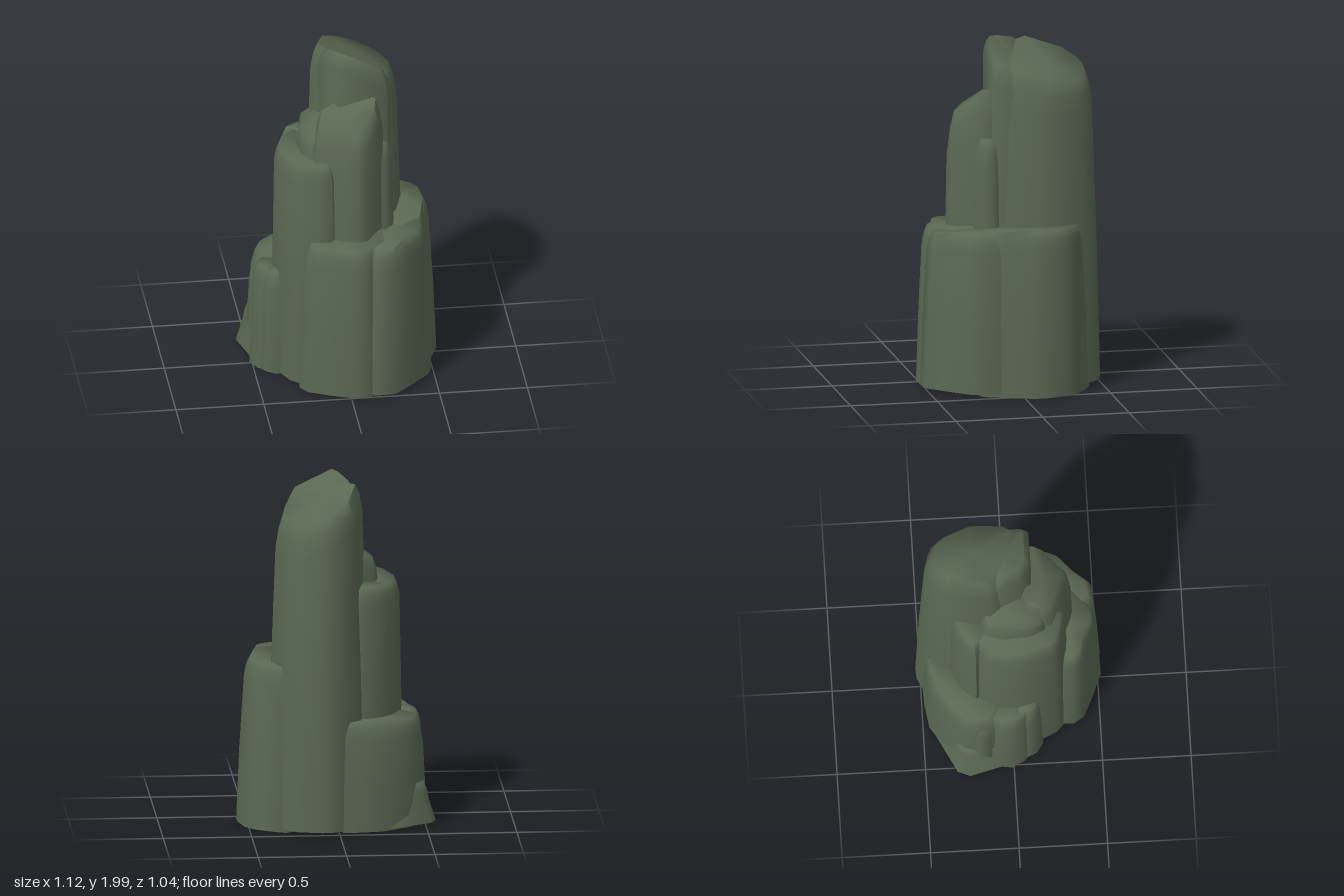
import * as THREE from 'three';
import { toCreasedNormals } from 'three/addons/utils/BufferGeometryUtils.js';

// One rock column: a tapering prism, open below, with chamfered rim and tilted top.
// pts: footprint [x, z]; top: [height, slopeX, slopeZ, refX, refZ]
function columnGeometry(pts, top, taper, bevel, rim, base) {
  const n = pts.length;
  const cx = pts.reduce((s, p) => s + p[0], 0) / n;
  const cz = pts.reduce((s, p) => s + p[1], 0) / n;
  const ordered = [...pts].sort((a, b) =>
    Math.atan2(a[1] - cz, a[0] - cx) - Math.atan2(b[1] - cz, b[0] - cx));
  const [h, sx, sz, rx, rz] = top;
  const topY = (x, z) => h + sx * (x - rx) + sz * (z - rz);

  // Cross-sections from the ground up: inset towards the centre, and height
  const rings = [
    { inset: 0, y: () => base },
    { inset: taper * 0.4, y: (t) => (t - bevel) * 0.5 },
    { inset: taper, y: (t) => t - bevel },
    { inset: taper + rim * 0.4, y: (t) => t - bevel * 0.4 },
    { inset: taper + rim, y: (t) => t },
  ];
  const pos = [];
  const index = [];
  for (const ring of rings) {
    for (const [x, z] of ordered) {
      const d = Math.hypot(x - cx, z - cz);
      const k = Math.max(0.15, 1 - ring.inset / d);
      const px = cx + (x - cx) * k;
      const pz = cz + (z - cz) * k;
      pos.push(px, ring.y(topY(px, pz)), pz);
    }
  }
  const last = (rings.length - 1) * n;
  const topCentre = rings.length * n;
  pos.push(cx, topY(cx, cz), cz);
  for (let i = 0; i < n; i++) {
    const j = (i + 1) % n;
    for (let r = 0; r < rings.length - 1; r++) {
      const a = r * n + i, b = r * n + j;
      index.push(b, a, a + n, b, a + n, b + n);
    }
    index.push(topCentre, last + j, last + i);
  }
  const geo = new THREE.BufferGeometry();
  geo.setAttribute('position', new THREE.Float32BufferAttribute(pos, 3));
  geo.setIndex(index);
  return toCreasedNormals(geo, 1.3);
}

export function createModel() {
  const group = new THREE.Group();
  group.name = 'rockPillar';
  const stone = new THREE.MeshStandardMaterial({ color: 0x5a6853, side: THREE.DoubleSide });
  stone.name = 'mossy stone';

  const add = (name, pts, top, taper, bevel, rim, base = 0.01) => {
    const mesh = new THREE.Mesh(columnGeometry(pts, top, taper, bevel, rim, base), stone);
    mesh.name = name;
    group.add(mesh);
  };

  // Tall columns forming the summit
  add('tallBackColumn',
    [[-0.14, -0.38], [-0.04, -0.48], [0.04, -0.52], [0.1, -0.525], [0.24, -0.49], [0.32, -0.41],
      [0.395, -0.2], [0.385, -0.12], [0.33, 0.05], [0.27, 0.11], [0, 0.09], [-0.13, 0], [-0.2, -0.1]],
    [1.95, -0.4, 0.2, -0.12, -0.14], 0.05, 0.17, 0.045, 0.02);
  add('summitShard',
    [[-0.13, -0.07], [-0.09, -0.16], [0.07, -0.21], [0.26, -0.13], [0.31, -0.05], [0.28, 0.09],
      [0.25, 0.13], [-0.03, 0.13], [-0.08, 0.06]],
    [2.0, -0.5, 0.5, -0.02, 0.09], 0.01, 0.12, 0.045);

  // Front column leaning against the summit
  add('frontColumn',
    [[-0.21, 0.18], [-0.18, 0.07], [-0.08, 0.03], [0.2, -0.02], [0.25, 0.12], [0.24, 0.2],
      [0.12, 0.36], [0.07, 0.375], [-0.01, 0.35], [-0.2, 0.24]],
    [1.74, 0.28, -0.6, 0.2, 0.1], 0.025, 0.22, 0.045);
  add('frontColumnSliver',
    [[0.16, 0.06], [0.26, 0.06], [0.3, 0.12], [0.29, 0.19], [0.23, 0.24], [0.16, 0.23]],
    [1.44, -0.3, 0, 0.23, 0.15], 0.02, 0.16, 0.03);

  // Left shoulder columns
  add('leftInnerColumn',
    [[-0.26, -0.05], [-0.25, 0.12], [-0.2, 0.21], [-0.05, 0.2], [-0.05, -0.2], [-0.22, -0.17]],
    [1.5, 0.5, -0.1, -0.2, 0.05], 0.015, 0.12, 0.035);
  add('leftColumn',
    [[-0.395, 0.04], [-0.38, -0.08], [-0.34, -0.17], [-0.25, -0.24], [-0.08, -0.25], [-0.05, 0.1],
      [-0.055, 0.3], [-0.08, 0.33], [-0.15, 0.325], [-0.28, 0.29], [-0.32, 0.25], [-0.37, 0.14]],
    [1.38, 0.05, 0, -0.2, 0], 0.02, 0.1, 0.035);
  add('leftRearSliver',
    [[-0.33, -0.2], [-0.27, -0.28], [-0.17, -0.34], [-0.08, -0.36], [0, -0.3], [-0.05, -0.12], [-0.25, -0.12]],
    [1.38, 0, 0.1, -0.13, -0.25], 0.02, 0.1, 0.035);

  // Low broken blocks on the left
  add('leftLowBlock',
    [[-0.495, -0.2], [-0.475, -0.28], [-0.4, -0.37], [-0.25, -0.465], [-0.12, -0.485], [-0.02, -0.49],
      [0.02, -0.2], [-0.3, 0], [-0.48, -0.1]],
    [0.63, 0.04, 0, -0.25, -0.25], 0.015, 0.1, 0.04);
  add('leftFoot',
    [[-0.56, -0.25], [-0.53, -0.32], [-0.38, -0.395], [-0.24, -0.465], [-0.15, -0.4], [-0.3, -0.1], [-0.51, -0.06]],
    [0.25, 0.1, 0, -0.45, -0.25], 0.04, 0.1, 0.03, 0.02);
  add('leftLowChip',
    [[-0.51, -0.2], [-0.5, -0.12], [-0.4, -0.08], [-0.36, -0.2], [-0.47, -0.26]],
    [0.54, 0.1, 0, -0.45, -0.17], 0.02, 0.08, 0.025);
  add('leftLowStump',
    [[-0.515, -0.01], [-0.5, -0.1], [-0.44, -0.16], [-0.3, -0.1], [-0.3, 0.1], [-0.42, 0.12], [-0.48, 0.06]],
    [0.62, 0.05, 0.05, -0.45, 0], 0.025, 0.08, 0.03, 0);
  add('leftLowSliver',
    [[-0.46, 0.08], [-0.44, 0.13], [-0.385, 0.17], [-0.3, 0.15], [-0.3, 0], [-0.44, 0]],
    [0.64, 0.3, 0, -0.38, 0.1], 0.015, 0.1, 0.03);

  // Broad lower blocks at the front and right, overlapping inside
  add('frontLowBlock',
    [[-0.275, 0.35], [-0.27, 0.28], [-0.24, 0.1], [0.25, 0.05], [0.27, 0.35], [0.15, 0.485],
      [0.1, 0.515], [0.02, 0.52], [-0.12, 0.465], [-0.235, 0.41]],
    [0.91, 0.06, -0.05, -0.05, 0.4], 0.035, 0.11, 0.035);
  add('rightLowBlock',
    [[0.1, 0.48], [0.13, 0.52], [0.25, 0.515], [0.35, 0.42], [0.465, 0.3], [0.49, 0.22],
      [0.485, 0.1], [0.44, -0.08], [0.1, -0.1], [0, 0.2], [0.03, 0.38]],
    [0.925, 0.07, -0.03, 0.3, 0.3], 0.035, 0.11, 0.035, 0.02);
  add('rightRearLowBlock',
    [[0.49, 0.12], [0.555, -0.05], [0.555, -0.12], [0.52, -0.26], [0.47, -0.32], [0.41, -0.365],
      [0.3, -0.42], [0.1, -0.3], [0.1, 0.15], [0.3, 0.28], [0.45, 0.22]],
    [0.95, 0.07, -0.01, 0.45, -0.1], 0.045, 0.11, 0.035, 0);

  return group;
}
